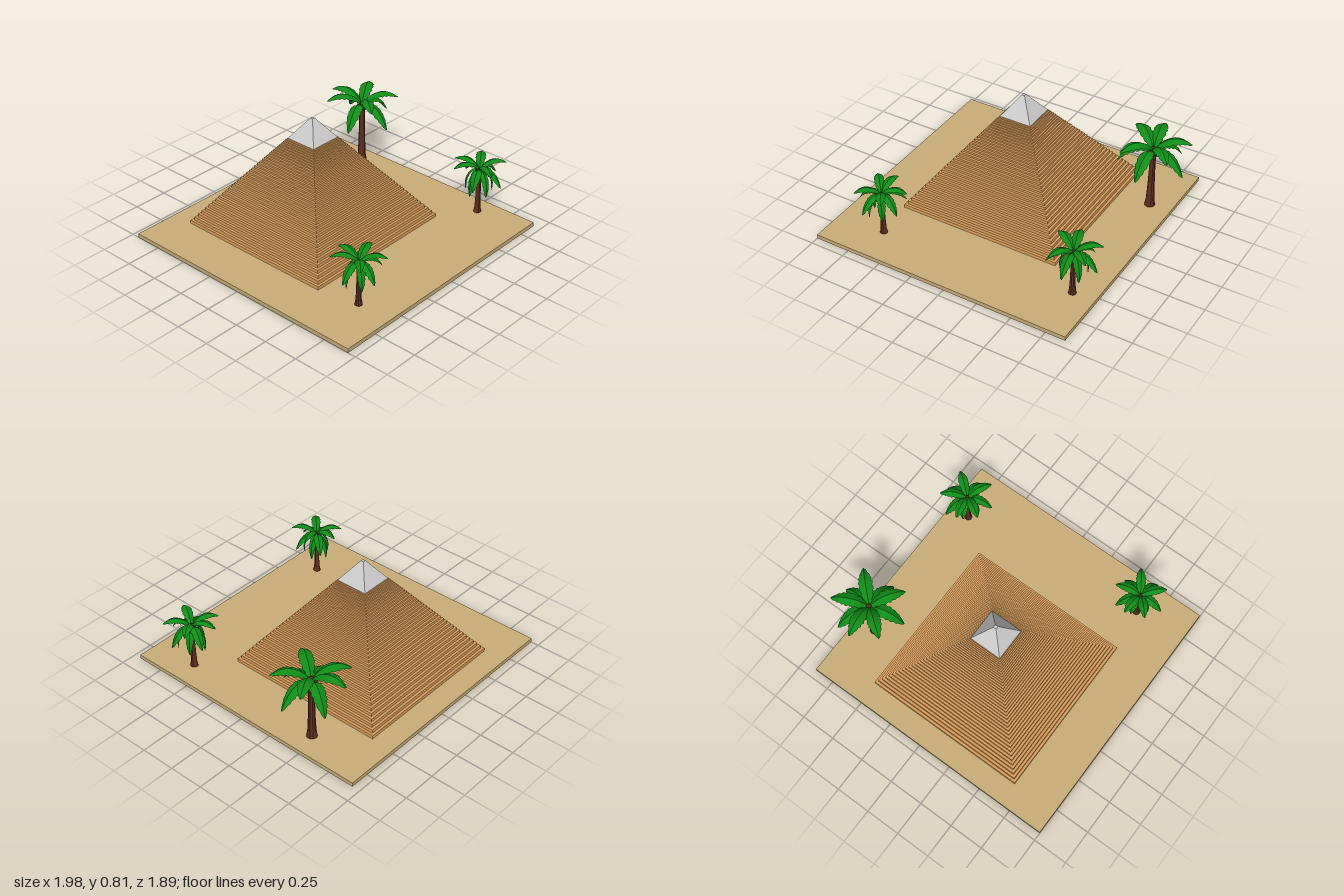
import * as THREE from 'three';

const mat = (color, extra = {}) => new THREE.MeshStandardMaterial({ color, ...extra });
const sand = mat(0xc9ae78);
const stone = mat(0xdca05e);
const grey = mat(0xcccccc, { flatShading: true });
const bark = mat(0x5a2e1e, { flatShading: true });
const green = mat(0x0f8c18, { flatShading: true, side: THREE.DoubleSide });

function add(parent, name, geometry, material, x = 0, y = 0, z = 0) {
  const mesh = new THREE.Mesh(geometry, material);
  mesh.name = name;
  mesh.position.set(x, y, z);
  parent.add(mesh);
  return mesh;
}

// Folded, serrated leaf swept along a curve in the x/y plane
function frondGeometry(points, width) {
  const curve = new THREE.CatmullRomCurve3(points.map(([x, y]) => new THREE.Vector3(x, y, 0)));
  const steps = 14, pos = [], index = [];
  for (let i = 0; i <= steps; i++) {
    const t = i / steps;
    const p = curve.getPoint(t), d = curve.getTangent(t);
    const tooth = i % 2 ? 1 : 0.82;
    const w = 0.004 + width * Math.pow(Math.sin(Math.PI * Math.pow(t, 0.85)), 0.75) * tooth;
    const fold = w * 0.45;
    for (const s of [-1, 0, 1]) {
      const drop = s ? fold : 0;
      pos.push(p.x + d.y * drop, p.y - d.x * drop, s * w);
    }
    if (i < steps) {
      for (let k = 0; k < 2; k++) {
        const a = i * 3 + k, b = a + 3;
        index.push(a, a + 1, b, a + 1, b + 1, b);
      }
    }
  }
  const g = new THREE.BufferGeometry();
  g.setAttribute('position', new THREE.Float32BufferAttribute(pos, 3));
  g.setIndex(index);
  g.computeVertexNormals();
  return g;
}

// Frond profiles: radius and height relative to the crown
const high = [[0, 0], [0.06, 0.065], [0.14, 0.095], [0.2, 0.085], [0.255, 0.05]];
const low = [[0, -0.01], [0.07, 0.025], [0.14, 0.005], [0.2, -0.05], [0.24, -0.12]];
const hanging = [[0, -0.02], [0.06, -0.01], [0.11, -0.07], [0.135, -0.15], [0.13, -0.24]];
const crownAngles = [-98, -62, -27, 8, 44, 92, 124, 163, 216];

function palm(name, size, turn, hangingCount) {
  const group = new THREE.Group();
  group.name = name;
  const crownY = 0.455;

  // Trunk with flared foot
  const profile = [[0, 0], [0.037, 0], [0.029, 0.05], [0.025, 0.14], [0.022, 0.26],
    [0.02, 0.36], [0.024, 0.43], [0.016, 0.47], [0, 0.48]];
  add(group, 'trunk', new THREE.LatheGeometry(profile.map(p => new THREE.Vector2(...p)), 10), bark);

  // Fruit around the crown
  for (let i = 0; i < 4; i++) {
    const a = i * Math.PI / 2 + 0.5;
    add(group, 'coconut', new THREE.IcosahedronGeometry(0.018, 1), bark,
      0.025 * Math.cos(a), crownY - 0.015, 0.025 * Math.sin(a));
  }

  // Alternating raised and drooping fronds
  const highLeaf = frondGeometry(high, 0.046);
  const lowLeaf = frondGeometry(low, 0.046);
  crownAngles.forEach((deg, i) => {
    const leaf = add(group, 'frond', i % 2 ? lowLeaf : highLeaf, green, 0, crownY, 0);
    leaf.rotation.y = -THREE.MathUtils.degToRad(deg);
  });

  // Steep hanging fronds
  const hangingLeaf = frondGeometry(hanging, 0.036);
  for (let i = 0; i < hangingCount; i++) {
    const leaf = add(group, 'hangingFrond', hangingLeaf, green, 0, crownY, 0);
    leaf.rotation.y = (i / hangingCount) * Math.PI * 2 + 0.5;
  }
  group.scale.setScalar(size);
  group.rotation.y = turn;
  return group;
}

export function createModel() {
  const model = new THREE.Group();
  model.name = 'desertPyramid';

  add(model, 'ground', new THREE.BoxGeometry(1.89, 0.03, 1.886), sand, -0.055, 0.015, 0);

  // Stepped courses, thinner towards the top
  const pyramid = new THREE.Group();
  pyramid.name = 'pyramid';
  pyramid.position.set(-0.085, 0.03, -0.19);
  const courses = 36, total = 0.64;
  let y = 0;
  for (let i = 0; i < courses; i++) {
    const h = (total / courses) * (1.4 - 0.8 * i / (courses - 1));
    const half = 0.59 - 0.47 * y / (total - 0.01);
    add(pyramid, 'course', new THREE.BoxGeometry(half * 2, h, half * 2), stone, 0, y + h / 2, 0);
    y += h;
  }

  // Grey capstone with a tiny flat tip
  const cap = add(pyramid, 'capstone',
    new THREE.CylinderGeometry(0.011 * Math.SQRT2, 0.116 * Math.SQRT2, 0.145, 4), grey, 0, total + 0.0725, 0);
  cap.rotation.y = Math.PI / 4;
  model.add(pyramid);

  // Palms: name, size, turn, hanging fronds, x, z
  for (const [name, size, turn, count, x, z] of [
    ['largePalm', 1, 0, 0, 0.74, -0.48],
    ['frontRightPalm', 0.73, 0.1, 5, 0.735, 0.58],
    ['frontLeftPalm', 0.7, -0.2, 5, -0.63, 0.7],
  ]) {
    const tree = palm(name, size, turn, count);
    tree.position.set(x, 0.043, z);
    model.add(tree);
  }
  return model;
}
